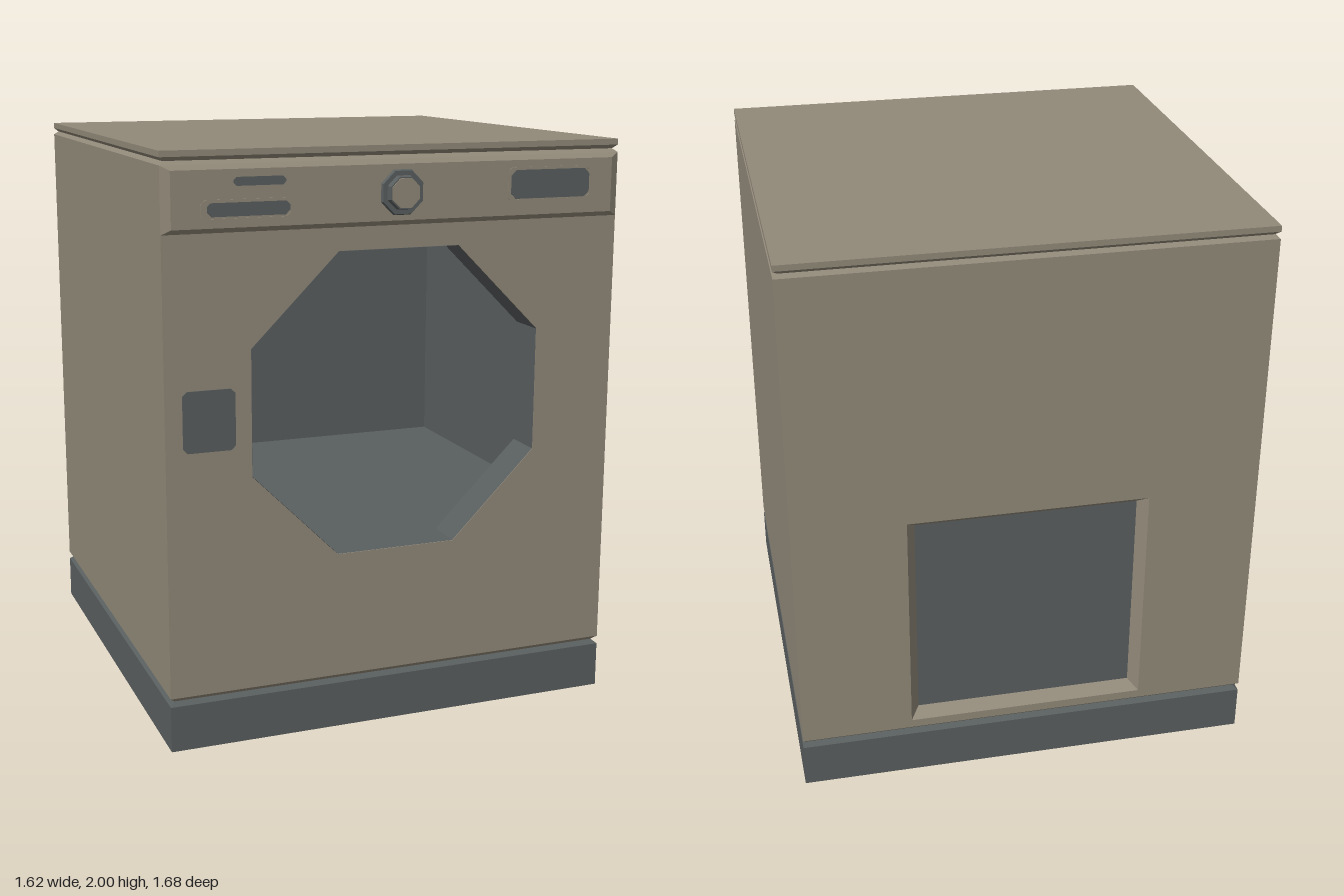
import * as THREE from 'three';

const HX = 0.81, HZ = 0.815, ZC = -0.025; // cabinet half width, half depth, centre z
const FRONT = 0.79, BACK = -0.84;

export function createModel() {
  const model = new THREE.Group();
  const side = THREE.DoubleSide;
  const taupe = new THREE.MeshStandardMaterial({ name: 'taupe', color: 0x918979, flatShading: true, side });
  const slate = new THREE.MeshStandardMaterial({ name: 'slate', color: 0x595e5f, flatShading: true, side });

  const add = (name, geo, mat, x = 0, y = 0, z = 0) => {
    const mesh = new THREE.Mesh(geo, mat);
    mesh.name = name;
    mesh.position.set(x, y, z);
    model.add(mesh);
    return mesh;
  };
  const box = (name, mat, w, h, d, x, y, z) => add(name, new THREE.BoxGeometry(w, h, d), mat, x, y, z);

  // Cabinet-wide slab whose bottom and top outlines are inset by a and b
  const slab = (name, mat, y0, y1, a = 0, b = 0) => {
    const geo = new THREE.BoxGeometry(2, y1 - y0, 2);
    const p = geo.attributes.position;
    for (let i = 0; i < p.count; i++) {
      const inset = p.getY(i) > 0 ? b : a;
      p.setX(i, p.getX(i) * (HX - inset));
      p.setZ(i, p.getZ(i) * (HZ - inset));
    }
    add(name, geo, mat, 0, (y0 + y1) / 2, ZC);
  };

  // Rectangle outline with cut corners
  const outline = (w, h, c, Type = THREE.Shape) => {
    const x = w / 2, y = h / 2;
    return new Type([[-x + c, -y], [x - c, -y], [x, -y + c], [x, y - c],
      [x - c, y], [-x + c, y], [-x, y - c], [-x, -y + c]].map(([a, b]) => new THREE.Vector2(a, b)));
  };
  const extrude = (shape, depth) => new THREE.ExtrudeGeometry(shape, { depth, bevelEnabled: false });
  const plate = (name, mat, x, y, z, w, h, c, d = 0.004) => add(name, extrude(outline(w, h, c), d), mat, x, y, z);
  const frame = (name, mat, x, y, z, w, h, c, t, d) => {
    const shape = outline(w, h, c);
    shape.holes.push(outline(w - 2 * t, h - 2 * t, c, THREE.Path));
    add(name, extrude(shape, d), mat, x, y, z);
  };
  const wall = (x0, y0, x1, y1) => new THREE.Shape(
    [[x0, y0], [x1, y0], [x1, y1], [x0, y1]].map(([a, b]) => new THREE.Vector2(a, b)));

  // Plinth, bevelled grooves and lid
  slab('plinth', slate, 0, 0.16);
  slab('plinthBevel', slate, 0.16, 0.174, 0, 0.017);
  slab('bodyLowerBevel', taupe, 0.174, 0.19, 0.017, 0);
  slab('bodyUpperBevel', taupe, 1.955, 1.967, 0, 0.015);
  slab('lidBevel', taupe, 1.967, 1.98, 0.015, 0);
  slab('lid', taupe, 1.98, 2);

  // Cabinet walls
  const y0 = 0.19, y1 = 1.955, holeY = 1.145;
  for (const s of [-1, 1]) box('sideWall', taupe, 0.01, y1 - y0, 2 * HZ, s * (HX - 0.005), (y0 + y1) / 2, ZC);
  const frontWall = wall(-HX, y0, HX, y1);
  const octagon = [];
  for (let i = 0; i < 8; i++) {
    const a = (i + 0.5) * Math.PI / 4;
    octagon.push(new THREE.Vector2(0.56 * Math.cos(a), holeY + 0.56 * Math.sin(a)));
  }
  frontWall.holes.push(new THREE.Path(octagon));
  add('frontWall', extrude(frontWall, 0.02), taupe, 0, 0, FRONT - 0.02);

  // Octagonal door rim and the dark chamber behind it
  const rim = new THREE.CylinderGeometry(0.559, 0.559, 0.14, 8, 1, true);
  rim.rotateY(Math.PI / 8).rotateX(Math.PI / 2);
  add('doorRim', rim, slate, 0, holeY, FRONT - 0.071);
  const chamberBack = -0.72, chamberDepth = FRONT - 0.03 - chamberBack;
  const chamberZ = chamberBack + chamberDepth / 2;
  for (const s of [-1, 1]) {
    box('chamberSide', slate, 0.008, 1.04, chamberDepth, s * 0.794, holeY, chamberZ);
    box(s < 0 ? 'chamberFloor' : 'chamberCeiling', slate, 1.58, 0.008, chamberDepth, 0, holeY + s * 0.522, chamberZ);
  }
  box('chamberBack', slate, 1.59, 1.04, 0.01, 0, holeY, chamberBack - 0.005);

  // Back wall with a bevelled access panel
  const backWall = wall(-HX, y0, HX, y1);
  backWall.holes.push(new THREE.Path(wall(-0.42, 0.22, 0.42, 1.04).getPoints()));
  add('backWall', extrude(backWall, 0.01), taupe, 0, 0, BACK);
  const bevel = new THREE.CylinderGeometry(0.925 * Math.SQRT2, Math.SQRT2, 0.04, 4, 1, true);
  bevel.rotateY(Math.PI / 4).rotateX(Math.PI / 2).scale(0.42, 0.41, 1);
  add('accessPanelBevel', bevel, taupe, 0, 0.63, BACK + 0.02);
  box('accessPanel', slate, 0.78, 0.76, 0.006, 0, 0.63, BACK + 0.043);

  // Raised control panel with bevelled edges
  const panel = new THREE.BoxGeometry(2, 2, 0.015);
  const p = panel.attributes.position;
  for (let i = 0; i < p.count; i++) {
    const front = p.getZ(i) > 0;
    p.setX(i, p.getX(i) * (front ? 0.78 : HX));
    p.setY(i, p.getY(i) * (front ? 0.092 : 0.108));
  }
  add('controlPanel', panel, taupe, 0, 1.847, FRONT + 0.0075);
  const face = FRONT + 0.015;

  // Controls: drawer handle, label strip and display
  frame('drawerHandleFrame', taupe, -0.53, 1.81, face, 0.31, 0.07, 0.015, 0.01, 0.003);
  plate('drawerHandle', slate, -0.525, 1.815, face - 0.002, 0.275, 0.048, 0.015);
  plate('labelStrip', slate, -0.488, 1.9, face - 0.002, 0.175, 0.028, 0.01);
  frame('displayFrame', taupe, 0.545, 1.858, face, 0.315, 0.115, 0.012, 0.008, 0.002);
  plate('display', slate, 0.545, 1.858, face - 0.002, 0.295, 0.096, 0.018);

  // Octagonal dial, stacked from collar to cap
  const disc = (name, mat, rFront, rBack, z0, z1) => {
    const geo = new THREE.CylinderGeometry(rFront, rBack, z1 - z0, 8);
    geo.rotateY(Math.PI / 8).rotateX(Math.PI / 2);
    add(name, geo, mat, 0, 1.847, (z0 + z1) / 2);
  };
  disc('dialCollar', slate, 0.076, 0.081, face - 0.002, 0.815);
  disc('dialBody', slate, 0.056, 0.06, 0.815, 0.836);
  disc('dialCap', taupe, 0.052, 0.052, 0.834, 0.84);

  // Small plate beside the door
  plate('doorLatchPlate', slate, -0.662, 1.132, FRONT - 0.001, 0.178, 0.205, 0.015);

  return model;
}
